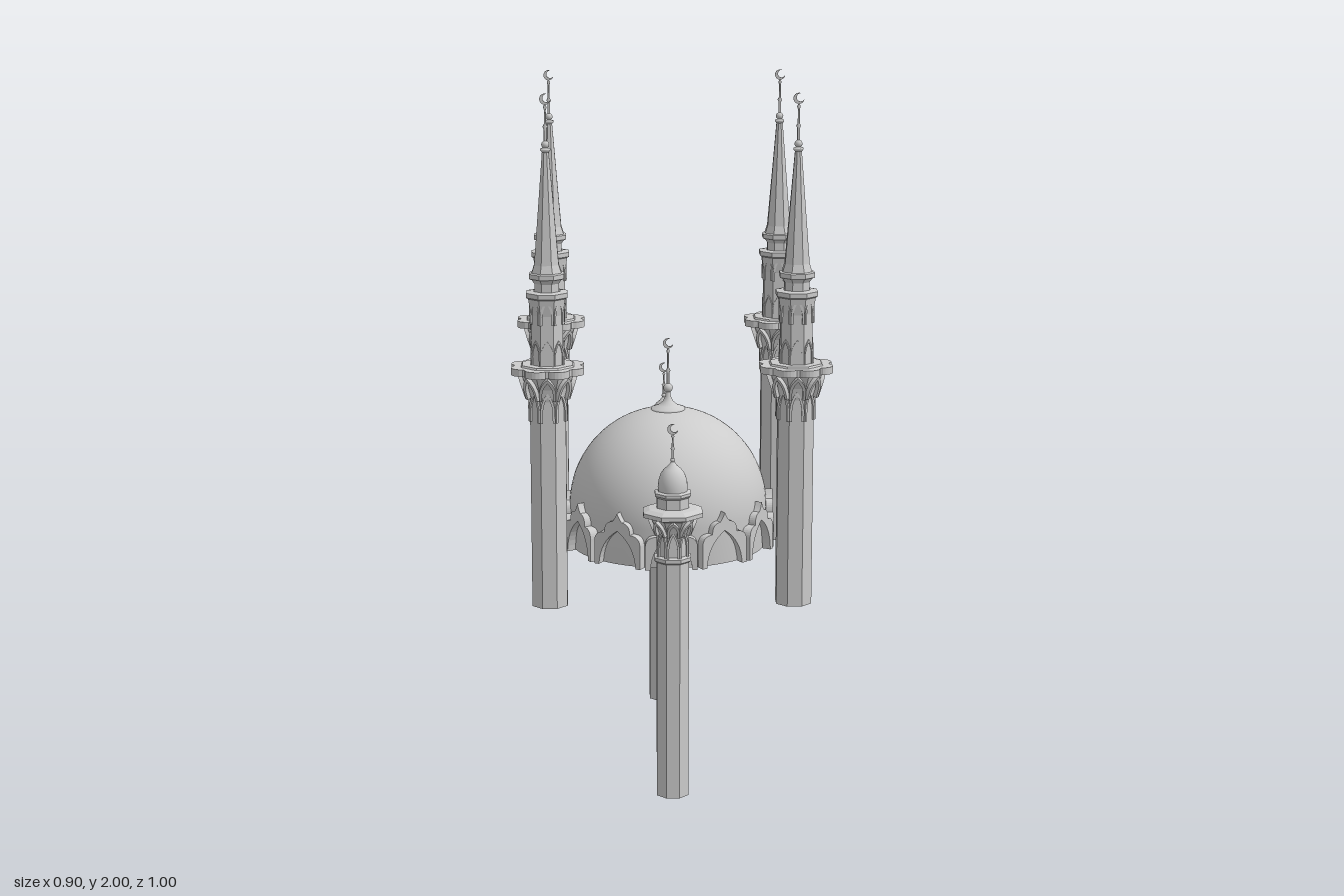
import * as THREE from 'three';

const smooth = new THREE.MeshStandardMaterial({ color: 0xcccccc, side: THREE.DoubleSide });
const flat = new THREE.MeshStandardMaterial({ color: 0xcccccc, flatShading: true, side: THREE.DoubleSide });
const V = (x, y) => new THREE.Vector2(x, y);

function add(parent, name, geometry, material = flat) {
  const mesh = new THREE.Mesh(geometry, material);
  mesh.name = name;
  parent.add(mesh);
  return mesh;
}

// Eight-sided turned form with flats on the axes; the profile gives [flat distance, height]
function octagon(profile) {
  const k = 1 / Math.cos(Math.PI / 8);
  return new THREE.LatheGeometry(profile.map(([r, y]) => V(r * k, y)), 8, Math.PI / 8);
}

function turned(profile, sides = 16) {
  return new THREE.LatheGeometry(profile.map(([r, y]) => V(r, y)), sides);
}

// Pointed arch band, open at the bottom
function archBand(width, height, band, depth) {
  const w = width / 2, i = w - band, h = height, g = h - band * 1.5;
  const s = new THREE.Shape();
  s.moveTo(-w, 0);
  s.lineTo(-w, h * 0.4);
  s.quadraticCurveTo(-w * 0.9, h * 0.75, 0, h);
  s.quadraticCurveTo(w * 0.9, h * 0.75, w, h * 0.4);
  s.lineTo(w, 0);
  s.lineTo(i, 0);
  s.lineTo(i, g * 0.4);
  s.quadraticCurveTo(i * 0.9, g * 0.75, 0, g);
  s.quadraticCurveTo(-i * 0.9, g * 0.75, -i, g * 0.4);
  s.lineTo(-i, 0);
  return new THREE.ExtrudeGeometry(s, { depth, bevelEnabled: false, curveSegments: 5 });
}

// Repeat a flat panel around the vertical axis
function ring(parent, name, geometry, count, radius, y, tilt = 0) {
  const group = new THREE.Group();
  group.name = name;
  for (let n = 0; n < count; n++) {
    const arm = new THREE.Group();
    arm.rotation.y = (n * 2 * Math.PI) / count;
    const panel = add(arm, name + 'Panel', geometry);
    panel.position.set(0, y, radius);
    panel.rotation.x = tilt;
    group.add(arm);
  }
  parent.add(group);
}

// Ball, thin rod and crescent; height is measured to the crescent's top
function finial(parent, y, height, ball) {
  const R = 0.015, rodTop = height - 2 * R;
  const group = new THREE.Group();
  group.name = 'finial';
  group.position.y = y;
  add(group, 'finialBall', new THREE.SphereGeometry(ball, 14, 10), smooth).position.y = ball;
  add(group, 'finialRod', turned([
    [0.004, 0], [0.004, rodTop * 0.45], [0.007, rodTop * 0.5], [0.003, rodTop * 0.56],
    [0.0025, rodTop * 0.88], [0.005, rodTop * 0.94], [0.002, rodTop],
  ], 8), smooth);
  const moon = new THREE.Shape();
  moon.absarc(0, 0, R, 0.691, 2 * Math.PI - 0.691, false);
  moon.absarc(R * 0.375, 0, R * 0.75, 2 * Math.PI - 1.016, 1.016, true);
  const crescent = add(group, 'crescent', new THREE.ExtrudeGeometry(moon, { depth: 0.004, bevelEnabled: false, curveSegments: 16 }));
  crescent.geometry.translate(0, 0, -0.002);
  crescent.position.y = height - R;
  crescent.rotation.z = 0.5;
  parent.add(group);
}

// Eight-lobed balcony slab
function lobedSlab(centreRadius, lobe, depth) {
  const s = new THREE.Shape();
  const pts = [];
  for (let n = 0; n < 8; n++) {
    const a = Math.PI / 8 + (n * Math.PI) / 4;
    for (let j = -4; j <= 4; j++) {
      const b = a + j * 0.29;
      pts.push(V(centreRadius * Math.cos(a) + lobe * Math.cos(b), centreRadius * Math.sin(a) + lobe * Math.sin(b)));
    }
  }
  s.setFromPoints(pts);
  const g = new THREE.ExtrudeGeometry(s, { depth, bevelEnabled: false });
  return g.rotateX(-Math.PI / 2);
}

function buildTower() {
  const t = new THREE.Group();
  t.name = 'tower';
  add(t, 'towerShaft', octagon([[0, 0.55], [0.05, 0.55], [0.05, 1.15], [0.057, 1.185], [0.074, 1.225]]));
  ring(t, 'bracketArches', archBand(0.041, 0.085, 0.007, 0.006), 8, 0.049, 1.09);
  ring(t, 'bracketFlare', archBand(0.046, 0.07, 0.008, 0.012), 8, 0.051, 1.157, 0.32);
  add(t, 'balcony', lobedSlab(0.073, 0.0345, 0.02)).position.y = 1.225;
  add(t, 'balconyStep', octagon([[0.074, 1.244], [0.07, 1.25], [0.045, 1.25]]));
  add(t, 'upperShaft', octagon([[0.044, 1.245], [0.044, 1.39], [0.049, 1.42], [0.052, 1.44]]));
  ring(t, 'lowerWindowArches', archBand(0.037, 0.07, 0.005, 0.004), 8, 0.043, 1.25);
  ring(t, 'upperWindowArches', archBand(0.037, 0.07, 0.006, 0.006), 8, 0.043, 1.365);
  add(t, 'upperCornice', octagon([[0.05, 1.435], [0.057, 1.44], [0.057, 1.453], [0.036, 1.456]]));
  add(t, 'lantern', octagon([[0.034, 1.45], [0.034, 1.478], [0.042, 1.49]]));
  add(t, 'lanternCornice', octagon([[0.034, 1.485], [0.048, 1.492], [0.048, 1.505], [0.035, 1.51]]));
  add(t, 'spire', octagon([[0.042, 1.505], [0.034, 1.53], [0.022, 1.68], [0.009, 1.845], [0, 1.85]]));
  add(t, 'spireCollar', turned([[0.008, 1.838], [0.014, 1.845], [0.014, 1.85], [0, 1.853]]), smooth);
  finial(t, 1.85, 0.15, 0.011);
  return t;
}

function buildPillar() {
  const p = new THREE.Group();
  p.name = 'pillar';
  add(p, 'pillarShaft', octagon([[0, 0], [0.045, 0], [0.045, 0.7]]));
  add(p, 'pillarCollar', octagon([[0.045, 0.695], [0.051, 0.7], [0.051, 0.71], [0.04, 0.714]]));
  add(p, 'pillarHead', octagon([[0.04, 0.71], [0.04, 0.775], [0.048, 0.8], [0.062, 0.825]]));
  ring(p, 'pillarArches', archBand(0.035, 0.075, 0.006, 0.006), 8, 0.039, 0.712);
  ring(p, 'pillarBrackets', archBand(0.036, 0.05, 0.007, 0.01), 8, 0.042, 0.778, 0.4);
  add(p, 'pillarBalcony', octagon([[0.055, 0.82], [0.083, 0.83], [0.083, 0.842], [0.066, 0.85], [0.045, 0.853]]));
  add(p, 'drum', octagon([[0.045, 0.845], [0.045, 0.882], [0.05, 0.888], [0.05, 0.896], [0.04, 0.9]]));
  add(p, 'smallDome', turned([
    [0.041, 0.897], [0.042, 0.912], [0.04, 0.93], [0.034, 0.948], [0.024, 0.962], [0.012, 0.972], [0.005, 0.982], [0, 0.985],
  ], 24), smooth);
  finial(p, 0.98, 0.11, 0.007);
  return p;
}

// Ornamental arch with lobed shoulders and a pointed crown
function domeArch() {
  const s = new THREE.Shape();
  s.moveTo(-0.075, 0);
  s.lineTo(-0.075, 0.06);
  s.quadraticCurveTo(-0.078, 0.098, -0.042, 0.098);
  s.quadraticCurveTo(-0.042, 0.13, -0.016, 0.132);
  s.quadraticCurveTo(-0.008, 0.14, 0, 0.158);
  s.quadraticCurveTo(0.008, 0.14, 0.016, 0.132);
  s.quadraticCurveTo(0.042, 0.13, 0.042, 0.098);
  s.quadraticCurveTo(0.078, 0.098, 0.075, 0.06);
  s.lineTo(0.075, 0);
  s.lineTo(0.06, 0);
  s.quadraticCurveTo(0.056, 0.07, 0, 0.105);
  s.quadraticCurveTo(-0.056, 0.07, -0.06, 0);
  return new THREE.ExtrudeGeometry(s, { depth: 0.026, bevelEnabled: false, curveSegments: 8 });
}

function buildDome() {
  const d = new THREE.Group();
  d.name = 'mainDome';
  const profile = [[0.288, 0.635], [0.291, 0.69]];
  for (let i = 0; i <= 24; i++) {
    const a = (i / 24) * Math.PI / 2;
    profile.push([0.292 * Math.cos(a), 0.75 + 0.292 * Math.sin(a)]);
  }
  add(d, 'domeShell', turned(profile, 64), smooth);
  const base = add(d, 'domeBase', new THREE.CircleGeometry(0.288, 64));
  base.rotation.x = Math.PI / 2;
  base.position.y = 0.635;
  ring(d, 'domeArches', domeArch(), 12, 0.284, 0.635);
  add(d, 'domeCap', turned([
    [0.05, 1.036], [0.05, 1.043], [0.03, 1.05], [0.015, 1.062], [0.008, 1.078], [0.007, 1.095],
  ], 24), smooth);
  finial(d, 1.088, 0.162, 0.014);
  return d;
}

export function createModel() {
  const model = new THREE.Group();
  model.name = 'domeWithTowers';
  model.add(buildDome());
  for (const sx of [-1, 1]) {
    for (const sz of [-1, 1]) {
      const tower = buildTower();
      tower.position.set(sx * 0.347, 0, sz * 0.347);
      model.add(tower);
    }
  }
  for (const sz of [-1, 1]) {
    const pillar = buildPillar();
    pillar.position.z = sz * 0.417;
    model.add(pillar);
  }
  return model;
}
